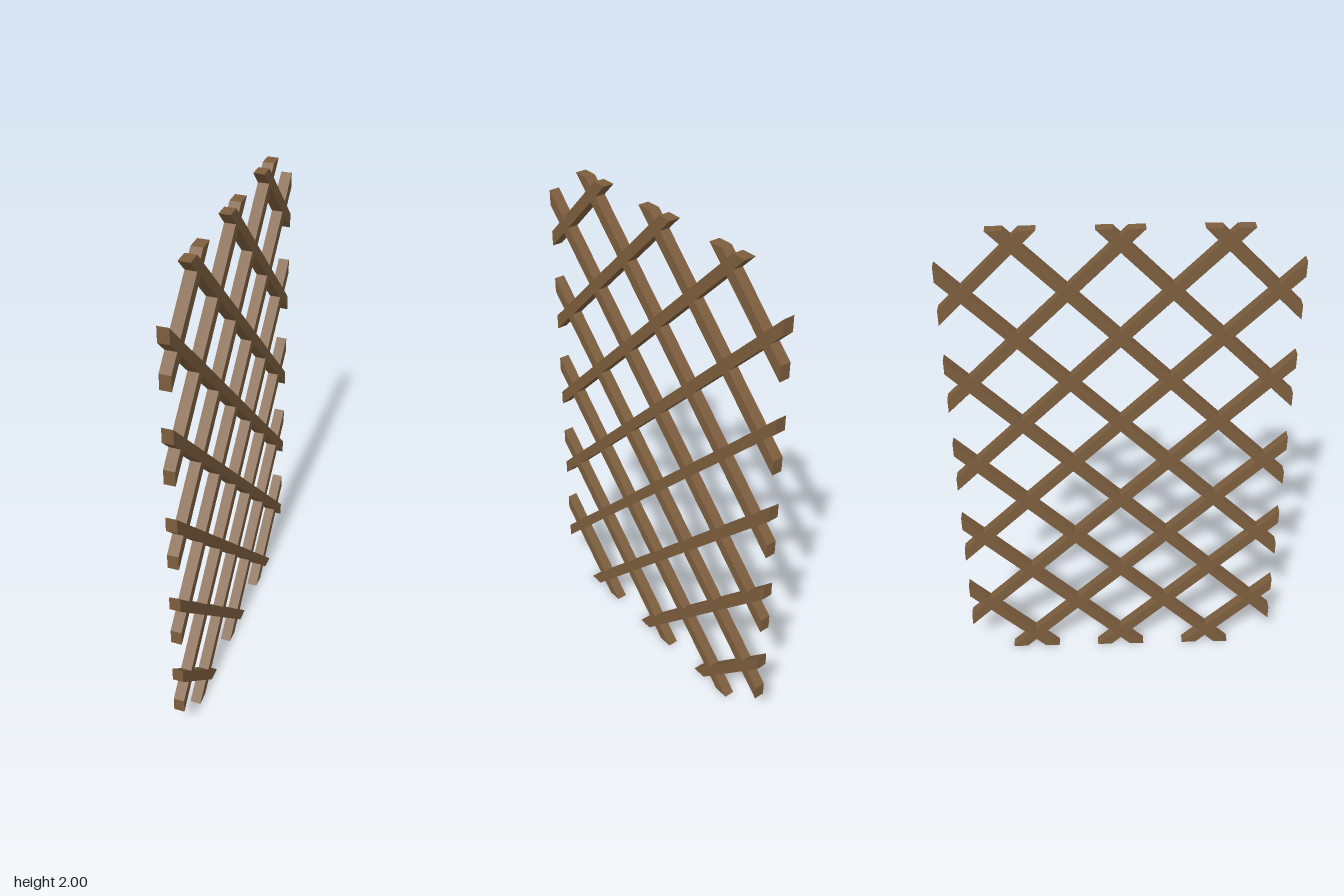
import * as THREE from 'three';

const HALF_WIDTH = 0.647;  // panel half width along z
const HEIGHT = 2;
const THICK = 0.043;       // slat depth along x
const PITCH = 0.3745;      // vertical distance between parallel slats
const BASE = 0.071;        // height of the lowest crossing on the centre line
const HALF_CUT = 0.03;     // half of the slat's vertical cut height

// Clip a polygon to the side where inside(p) >= 0
function clip(points, inside) {
  const out = [];
  points.forEach((a, i) => {
    const b = points[(i + 1) % points.length];
    const da = inside(a), db = inside(b);
    if (da >= 0) out.push(a);
    if ((da >= 0) !== (db >= 0)) out.push(a.clone().lerp(b, da / (da - db)));
  });
  return out;
}

// A 45 degree slat, cut flush with the panel's rectangular outline
function slatGeometry(offset, slope) {
  const corner = (z, dy) => new THREE.Vector2(z, slope * z + offset + dy);
  let pts = [corner(-1, -HALF_CUT), corner(1, -HALF_CUT), corner(1, HALF_CUT), corner(-1, HALF_CUT)];
  pts = clip(pts, p => p.x + HALF_WIDTH);
  pts = clip(pts, p => HALF_WIDTH - p.x);
  pts = clip(pts, p => p.y);
  pts = clip(pts, p => HEIGHT - p.y);
  const geo = new THREE.ExtrudeGeometry(new THREE.Shape(pts), { depth: THICK, bevelEnabled: false });
  geo.translate(0, 0, -THICK / 2);
  geo.rotateY(-Math.PI / 2); // lay the outline in the yz plane
  return geo;
}

export function createModel() {
  const wood = new THREE.MeshStandardMaterial({ color: 0x7d5e3e });
  wood.name = 'brown wood';
  const model = new THREE.Group();
  model.name = 'trellis';

  // Two crossing sets of parallel slats
  for (const slope of [1, -1]) {
    const set = new THREE.Group();
    set.name = slope > 0 ? 'forwardSlats' : 'backwardSlats';
    for (let n = -1; n <= 6; n++) {
      const slat = new THREE.Mesh(slatGeometry(BASE + n * PITCH, slope), wood);
      slat.name = 'slat';
      set.add(slat);
    }
    model.add(set);
  }
  return model;
}
